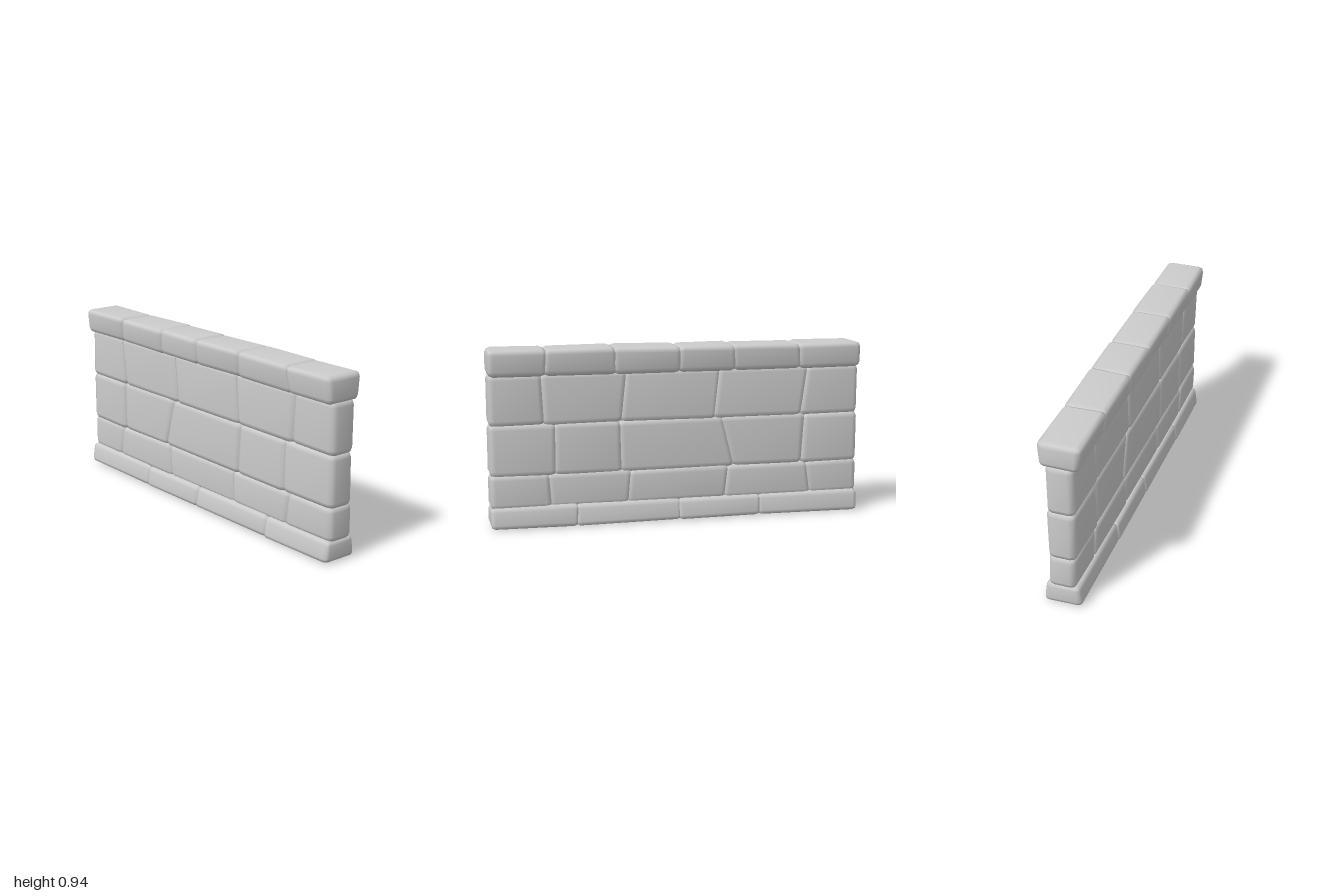
import * as THREE from 'three';
import { mergeVertices } from 'three/addons/utils/BufferGeometryUtils.js';
import { RoundedBoxGeometry } from 'three/addons/geometries/RoundedBoxGeometry.js';

// Courses from the ground up. Seams are [x at bottom, x at top];
// depths are the half thickness at the bottom and at the top.
const COURSES = [
  { name: 'baseStone', y: [0.005, 0.11], depth: [0.102, 0.086], bevel: 0.024,
    seams: [[-1, -1], [-0.44, -0.44], [0, 0], [0.55, 0.55], [1, 1]] },
  { name: 'lowerStone', y: [0.11, 0.28], depth: [0.073, 0.073], bevel: 0.03,
    seams: [[-1, -1], [-0.73, -0.71], [-0.25, -0.27], [0.28, 0.26], [0.68, 0.7], [1, 1]] },
  { name: 'middleStone', y: [0.28, 0.545], depth: [0.074, 0.073], bevel: 0.032,
    seams: [[-1, -1], [-0.68, -0.7], [-0.3, -0.23], [0.31, 0.32], [0.66, 0.66], [1, 1]] },
  { name: 'upperStone', y: [0.545, 0.805], depth: [0.073, 0.074], bevel: 0.032,
    seams: [[-1, -1], [-0.67, -0.71], [-0.19, -0.22], [0.31, 0.28], [0.71, 0.73], [1, 1]] },
  { name: 'capStone', y: [0.805, 0.935], depth: [0.096, 0.113], bevel: 0.028,
    seams: [[-1, -1], [-0.66, -0.65], [-0.3, -0.29], [0, 0], [0.34, 0.35], [0.71, 0.7], [1, 1]] },
];
const OVERLAP = 0.009;

// Small seeded generator, returns -1..1
function seeded(seed) {
  let s = seed;
  return () => {
    s = (s * 16807) % 2147483647;
    return (s / 2147483647) * 2 - 1;
  };
}

// A bevelled block whose eight corners are moved to the given places
function stoneGeometry(corner, size, bevel) {
  const geo = new RoundedBoxGeometry(size.x, size.y, size.z, 1, bevel);
  geo.deleteAttribute('normal');
  geo.deleteAttribute('uv');
  geo.computeBoundingBox();
  const max = geo.boundingBox.max;
  const pos = geo.attributes.position;
  const p = new THREE.Vector3();
  const out = new THREE.Vector3();
  for (let i = 0; i < pos.count; i++) {
    p.fromBufferAttribute(pos, i).divide(max);
    out.set(0, 0, 0);
    for (let c = 0; c < 8; c++) {
      const sx = c & 1 ? 1 : -1, sy = c & 2 ? 1 : -1, sz = c & 4 ? 1 : -1;
      out.addScaledVector(corner[c], (1 + sx * p.x) * (1 + sy * p.y) * (1 + sz * p.z) / 8);
    }
    pos.setXYZ(i, out.x, out.y, out.z);
  }
  const merged = mergeVertices(geo, 1e-4);
  merged.computeVertexNormals();
  return merged;
}

export function createModel() {
  const wall = new THREE.Group();
  wall.name = 'stoneWall';
  const material = new THREE.MeshStandardMaterial({ color: 0xcccccc, roughness: 0.9 });
  const rand = seeded(4177);

  COURSES.forEach((course, row) => {
    const group = new THREE.Group();
    group.name = course.name + 'Course';
    const { y, depth, seams, bevel } = course;
    const isBase = row === 0, isCap = row === COURSES.length - 1;

    for (let i = 0; i < seams.length - 1; i++) {
      const corners = [];
      for (let c = 0; c < 8; c++) {
        const right = c & 1, top = (c >> 1) & 1, front = (c >> 2) & 1;
        const seam = seams[i + right][top];
        const outerEnd = Math.abs(seam) === 1;
        const outerY = top ? isCap : isBase;
        // Neighbours overlap so that the bevels meet in shallow grooves
        const x = seam + (outerEnd ? 0 : (right ? OVERLAP : -OVERLAP) + rand() * 0.004);
        const yy = y[top] + (outerY ? rand() * 0.004 : (top ? OVERLAP : -OVERLAP) + rand() * 0.003);
        const z = (front ? 1 : -1) * (depth[top] + rand() * 0.004);
        corners.push(new THREE.Vector3(x, yy, z));
      }
      const size = new THREE.Vector3(
        seams[i + 1][0] - seams[i][0], y[1] - y[0] + OVERLAP, depth[0] + depth[1]);
      const stone = new THREE.Mesh(stoneGeometry(corners, size, bevel), material);
      stone.name = `${course.name}${i + 1}`;
      group.add(stone);
    }
    wall.add(group);
  });
  return wall;
}
